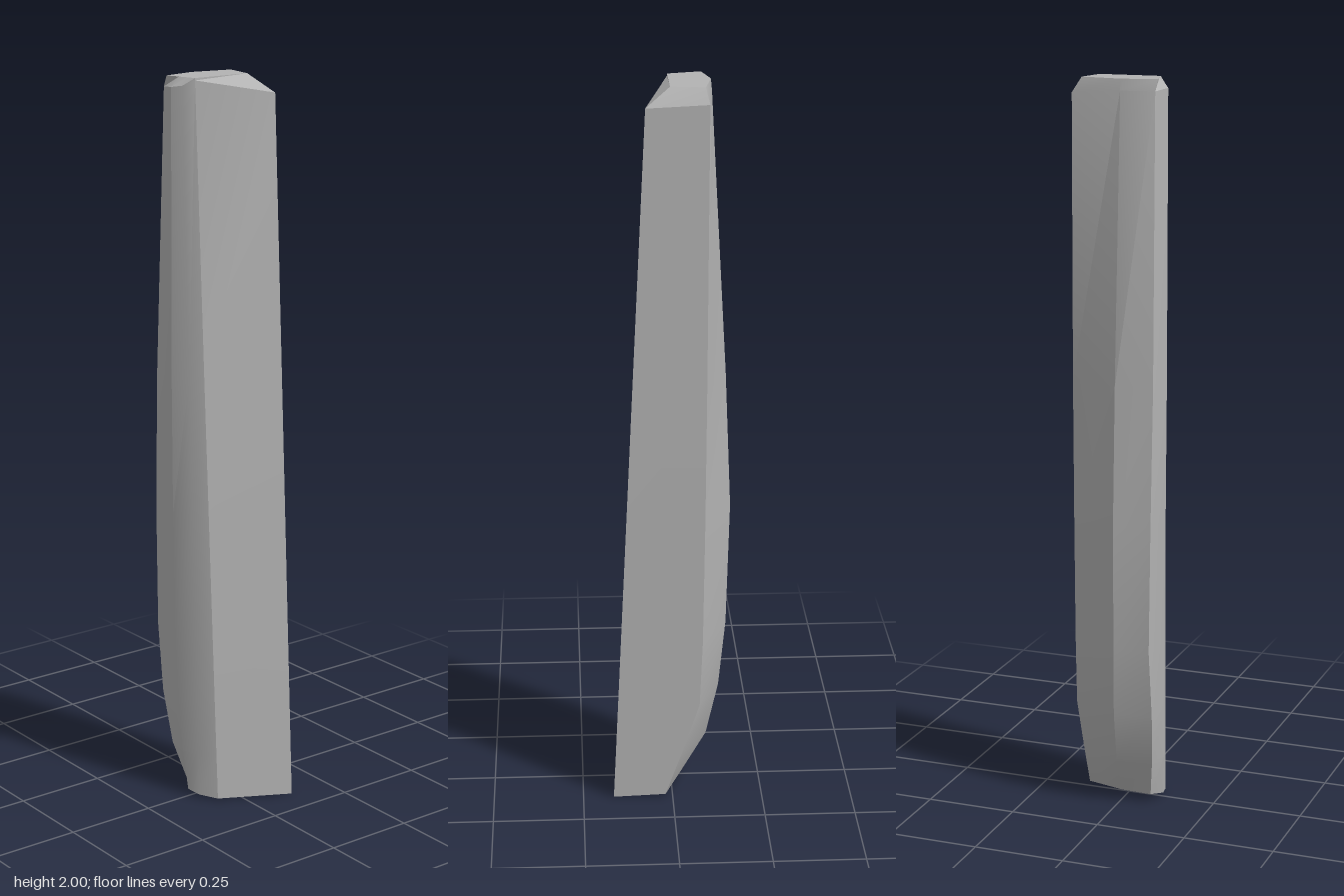
import * as THREE from 'three';
import { toCreasedNormals } from 'three/addons/utils/BufferGeometryUtils.js';

// Each section runs: back right, back left, left, front left, front, front bevel, right front.
// A section has a height, a list of [x, z] corners and optional height offsets per corner.
const SIDES = 7;

// Straight taper of the back-right and front-right edges between foot and tip
const taper = (y, foot, tip) => foot + (tip - foot) * y / 1.96;

function section(y, backLeft, left, frontLeft, front, lift = []) {
  const corners = [
    [taper(y, 0.165, 0.07), -0.127], backLeft, left, frontLeft, front,
    [taper(y, 0.03, -0.018), taper(y, 0.097, 0.108)],
    [taper(y, 0.075, 0.005), taper(y, 0.065, 0.085)],
  ];
  return corners.map(([x, z], i) => [x, y + (lift[i] || 0), z]);
}

function loft(rings) {
  const pos = [];
  const tri = (a, b, c) => pos.push(...a, ...b, ...c);
  for (let i = 0; i < rings.length - 1; i++) {
    for (let j = 0; j < SIDES; j++) {
      const k = (j + 1) % SIDES;
      tri(rings[i][j], rings[i][k], rings[i + 1][k]);
      tri(rings[i][j], rings[i + 1][k], rings[i + 1][j]);
    }
  }
  // End caps as fans around their centres
  const centre = (r) => [0, 1, 2].map((n) => r.reduce((s, p) => s + p[n], 0) / SIDES);
  const first = rings[0], last = rings[rings.length - 1];
  const c0 = centre(first), c1 = centre(last);
  for (let j = 0; j < SIDES; j++) {
    const k = (j + 1) % SIDES;
    tri(c0, first[k], first[j]);
    tri(c1, last[j], last[k]);
  }
  const geometry = new THREE.BufferGeometry();
  geometry.setAttribute('position', new THREE.Float32BufferAttribute(pos, 3));
  return toCreasedNormals(geometry, 0.5);
}

export function createModel() {
  const grey = new THREE.MeshStandardMaterial({ color: 0xb2b2b2 });
  grey.name = 'stone grey';

  const rings = [
    // Foot, with its front-left corner slightly raised
    section(0, [0.02, -0.127], [-0.03, -0.01], [-0.045, 0.08], [-0.01, 0.105],
      [0, 0.005, 0.015, 0.02, 0.015, 0.01, 0.005]),
    // Curved lower left flank
    section(0.13, [-0.025, -0.127], [-0.1, 0], [-0.09, 0.1], [-0.025, 0.112]),
    section(0.28, [-0.075, -0.127], [-0.135, 0.005], [-0.12, 0.11], [-0.04, 0.116]),
    section(0.47, [-0.083, -0.127], [-0.155, 0.012], [-0.143, 0.109], [-0.048, 0.119]),
    section(0.82, [-0.088, -0.127], [-0.165, 0.015], [-0.142, 0.113], [-0.05, 0.123]),
    section(1.2, [-0.091, -0.127], [-0.15, 0.015], [-0.13, 0.115], [-0.05, 0.125]),
    // Shoulder below the chamfered tip
    section(1.96, [-0.095, -0.124], [-0.108, 0.015], [-0.1, 0.108], [-0.046, 0.124],
      [-0.007, 0, 0.01, 0.01, 0.015, 0.02, 0.034]),
    // Flat tip
    [[0.005, -0.085], [-0.085, -0.1], [-0.105, 0.015], [-0.085, 0.11],
      [-0.045, 0.099], [-0.02, 0.092], [0.005, 0.085]].map(([x, z]) => [x, 2, z]),
  ];

  const pillar = new THREE.Mesh(loft(rings), grey);
  pillar.name = 'pillar';

  const group = new THREE.Group();
  group.name = 'facetedPillar';
  group.add(pillar);
  return group;
}
